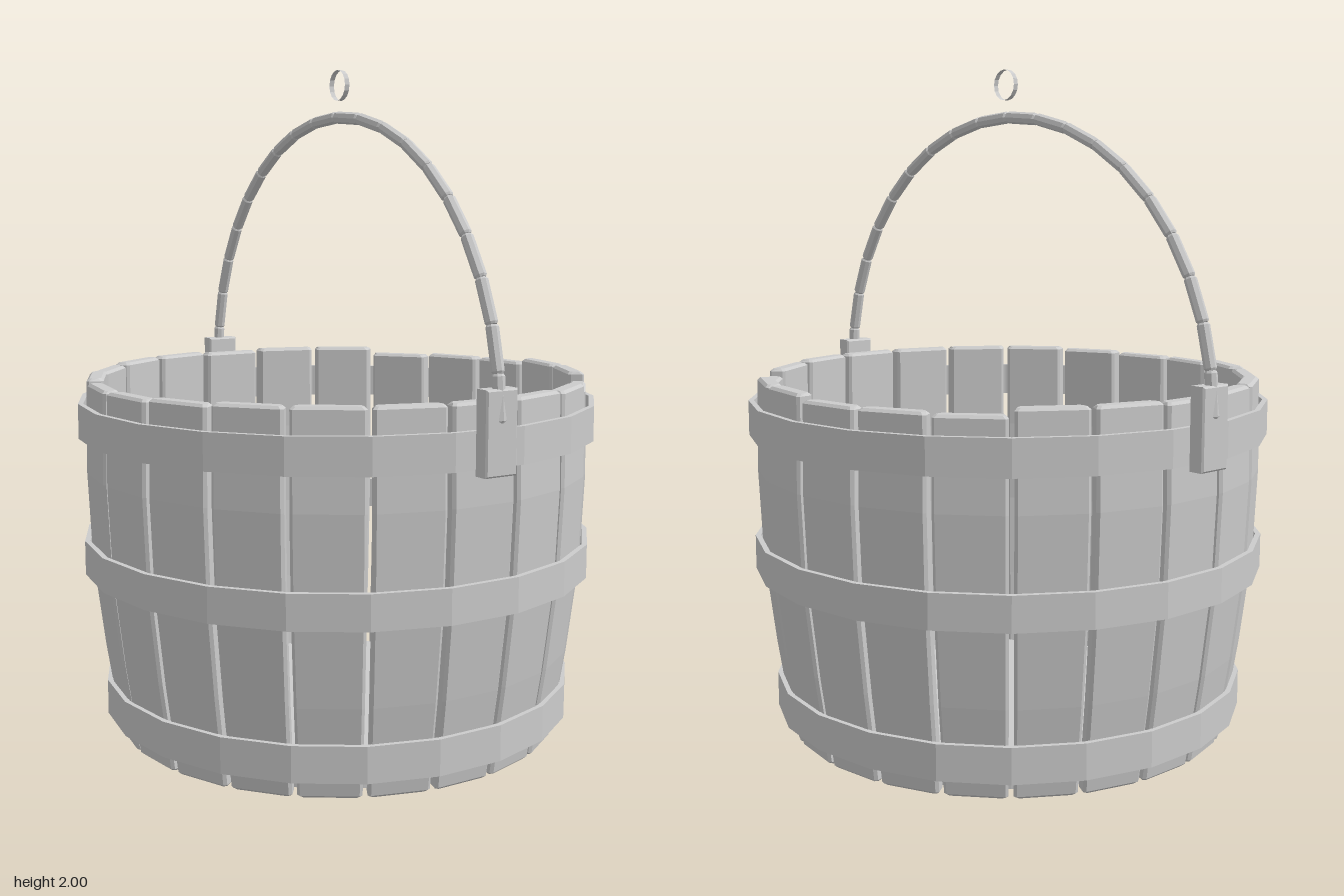
import * as THREE from 'three';

const COUNT = 22;                    // staves around the tub
const STEP = (Math.PI * 2) / COUNT;
const TAN = Math.tan(STEP / 2);

const flat = (geo) => {
  const g = geo.index ? geo.toNonIndexed() : geo;
  g.computeVertexNormals();
  return g;
};

// Outer radius of the stave faces at a height
const PROFILE = [[0, 0.675], [0.27, 0.717], [0.54, 0.75], [0.81, 0.762], [1.09, 0.757]];
function radiusAt(y) {
  for (let i = 1; i < PROFILE.length; i++) {
    const [y0, r0] = PROFILE[i - 1], [y1, r1] = PROFILE[i];
    if (y <= y1) return r0 + ((r1 - r0) * (y - y0)) / (y1 - y0);
  }
  return 0.757;
}

// Chamfered cross-section of a stave, shrunk by e at its ends
function staveRing(y, e) {
  const c = 0.008, thick = 0.05, gap = 0.008;
  const R = radiusAt(y), zo = R - e, zi = R - thick + e;
  const wo = R * TAN - gap - e, wi = (R - thick) * TAN - gap - e;
  return [
    [-wo + c, zo], [wo - c, zo], [wo, zo - c], [wi, zi + c],
    [wi - c, zi], [-wi + c, zi], [-wi, zi + c], [-wo, zo - c],
  ].map(([x, z]) => [x, y, z]);
}

function staveGeometry(height) {
  const b = 0.008;
  const rings = [staveRing(0, b), staveRing(b, 0)];
  for (const y of [0.27, 0.54, 0.81, height - b]) rings.push(staveRing(y, 0));
  rings.push(staveRing(height, b));
  const pos = [], n = 8, last = rings[rings.length - 1];
  const tri = (...p) => p.forEach((v) => pos.push(...v));
  for (let j = 0; j + 1 < rings.length; j++) {
    for (let i = 0; i < n; i++) {
      const k = (i + 1) % n;
      tri(rings[j][i], rings[j][k], rings[j + 1][k]);
      tri(rings[j][i], rings[j + 1][k], rings[j + 1][i]);
    }
  }
  for (let i = 1; i + 1 < n; i++) {
    tri(last[0], last[i], last[i + 1]);
    tri(rings[0][0], rings[0][i + 1], rings[0][i]);
  }
  const g = new THREE.BufferGeometry();
  g.setAttribute('position', new THREE.Float32BufferAttribute(pos, 3));
  return flat(g);
}

export function createModel() {
  const model = new THREE.Group();
  model.name = 'bucket';
  const grey = new THREE.MeshStandardMaterial({ color: 0xcccccc });
  grey.name = 'pale grey';
  grey.side = THREE.DoubleSide;

  const add = (parent, name, geo) => {
    const m = new THREE.Mesh(geo, grey);
    m.name = name;
    parent.add(m);
    return m;
  };
  const group = (name) => {
    const g = new THREE.Group();
    g.name = name;
    model.add(g);
    return g;
  };

  // Staves with slightly uneven tops, counted from the front towards +x
  const heights = [1.09, 1.09, 1.085, 1.065, 1.09, 1.09, 1.075, 1.075, 1.07, 1.09, 1.09,
    1.085, 1.09, 1.09, 1.085, 1.09, 1.08, 1.08, 1.085, 1.09, 1.09, 1.09];
  const staves = group('staves');
  heights.forEach((h, k) => {
    add(staves, 'stave', staveGeometry(h)).rotation.y = k * STEP;
  });

  // Floor disc
  add(model, 'floor', flat(new THREE.CylinderGeometry(0.64, 0.64, 0.012, 44))).position.y = 0.02;

  // Three hoops, their corners in line with the gaps
  const hoops = group('hoops');
  for (const [y0, y1, r] of [[0.06, 0.165, 0.722], [0.5, 0.602, 0.78], [0.913, 1.018, 0.791]]) {
    const q = r - 0.016;
    const pts = [[q, y0], [r, y0], [r, y1], [q, y1], [q, y0]].map((p) => new THREE.Vector2(...p));
    add(hoops, 'hoop', flat(new THREE.LatheGeometry(pts, COUNT, STEP / 2)));
  }

  // Handle brackets, front and back
  for (const s of [1, -1]) {
    const plate = new THREE.Shape([[-0.046, -0.111], [0.046, -0.111], [0.046, 0.111], [-0.046, 0.111]]
      .map((p) => new THREE.Vector2(...p)));
    const geo = new THREE.ExtrudeGeometry(plate, {
      depth: 0.04, bevelEnabled: true, bevelSize: 0.005, bevelThickness: 0.005, bevelSegments: 1,
    });
    geo.translate(0, 0, -0.02);
    add(model, 'handleBracket', flat(geo)).position.set(0, 1.014, s * 0.807);
  }

  // Handle of short straight links along a half circle
  const handle = group('handle');
  const LINKS = 20, R = 0.82, CY = 1.04, seg = Math.PI / LINKS;
  const len = 2 * R * Math.sin(seg / 2), rod = 0.018;
  const link = flat(new THREE.LatheGeometry([
    [0, -len / 2], [rod - 0.004, -len / 2], [rod, -len / 2 + 0.006],
    [rod, len / 2 - 0.006], [rod - 0.004, len / 2], [0, len / 2],
  ].map((p) => new THREE.Vector2(...p)), 8));
  for (let i = 0; i < LINKS; i++) {
    const a = (i + 0.5) * seg, mid = R * Math.cos(seg / 2);
    const m = add(handle, 'handleLink', link);
    m.position.set(0, CY + mid * Math.sin(a), mid * Math.cos(a));
    m.rotation.x = -a;
  }

  // Small thin ring above the handle
  const ring = new THREE.CylinderGeometry(0.045, 0.045, 0.016, 16, 1, true);
  ring.rotateZ(Math.PI / 2);
  add(model, 'smallRing', flat(ring)).position.set(0.009, 1.955, 0);

  return model;
}
